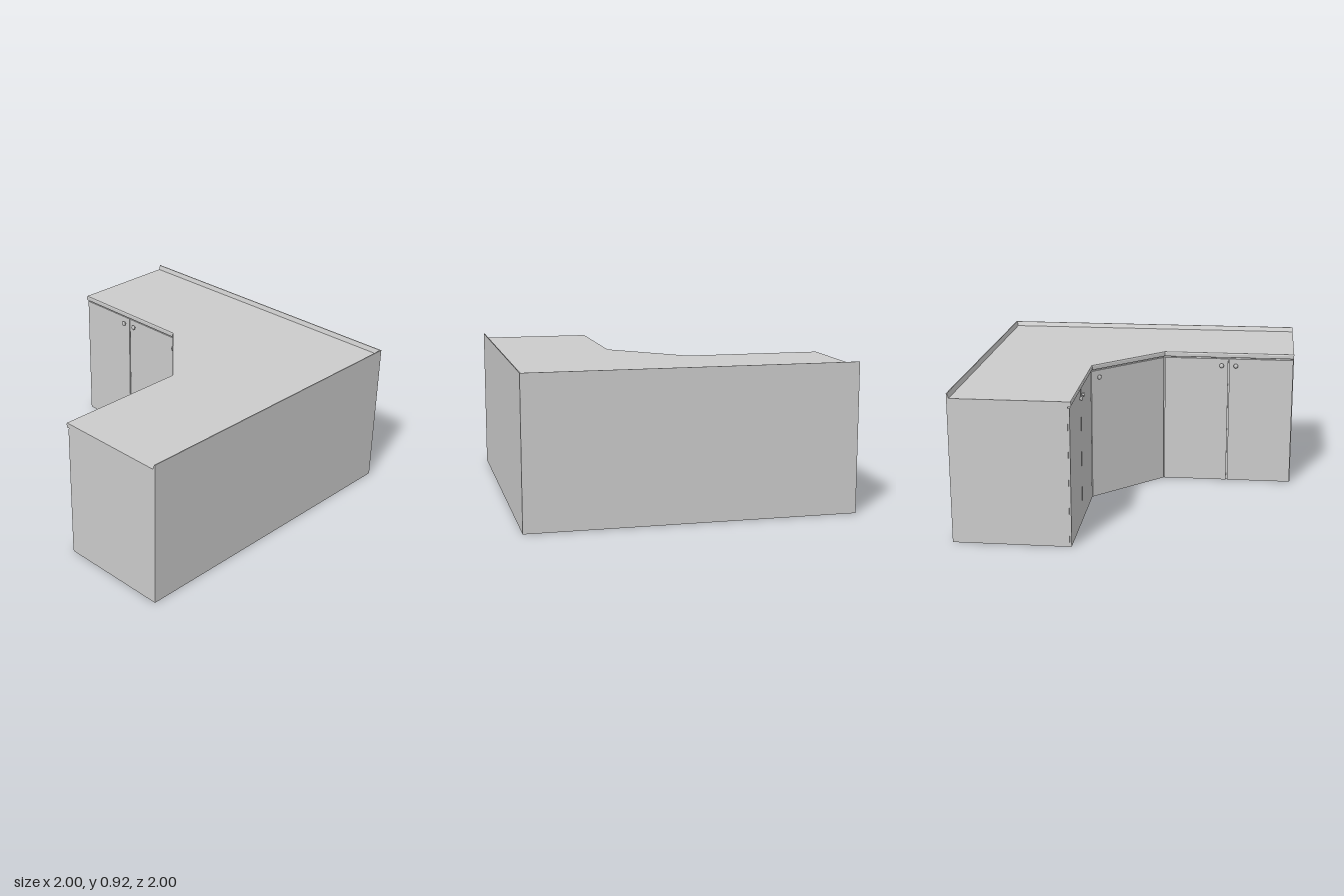
import * as THREE from 'three';

const mat = new THREE.MeshStandardMaterial({ color: 0xcccccc, flatShading: true });
const smooth = new THREE.MeshStandardMaterial({ color: 0xcccccc });
const BODY_TOP = 0.855, TOP = 0.885, RIM = 0.915;

// Inner (room-facing) edge as [x, z], set back by d from the worktop edge
function inner(d) {
  const z = -0.278 - d, x = z + 0.13 + d * Math.SQRT2;
  return [[-1, z], [x, z], [-z, -x], [-z, 1]];
}

// Wall-side edge as [x, z], moved o into the room
const wall = (o) => [[-1, -1 + o], [1 - o, -1 + o], [1 - o, 1]];

function mesh(name, geometry, material = mat) {
  const m = new THREE.Mesh(geometry, material);
  m.name = name;
  return m;
}

// L-shaped slab between two heights
function slab(name, setback, y0, y1) {
  const outline = [...inner(setback), [1, 1], [1, -1], [-1, -1]];
  const shape = new THREE.Shape(outline.map(([x, z]) => new THREE.Vector2(x, -z)));
  const g = new THREE.ExtrudeGeometry(shape, { depth: y1 - y0, bevelEnabled: false });
  g.rotateX(-Math.PI / 2).translate(0, y0, 0);
  return mesh(name, g);
}

// Sweep a convex [offset, y] profile along a mitred path, with closed ends
function sweep(name, profile, path) {
  const n = profile.length, pos = [], idx = [];
  const rails = profile.map(([o]) => path(o));
  const stations = rails[0].length;
  for (let s = 0; s < stations; s++)
    for (let i = 0; i < n; i++) pos.push(rails[i][s][0], profile[i][1], rails[i][s][1]);
  for (let s = 0; s < stations - 1; s++)
    for (let i = 0; i < n; i++) {
      const a = s * n + i, b = s * n + (i + 1) % n;
      idx.push(a, a + n, b, a + n, b + n, b);
    }
  const e = (stations - 1) * n;
  for (let i = 1; i < n - 1; i++) idx.push(0, i, i + 1, e, e + i + 1, e + i);
  const indexed = new THREE.BufferGeometry();
  indexed.setAttribute('position', new THREE.Float32BufferAttribute(pos, 3));
  indexed.setIndex(idx);
  const g = indexed.toNonIndexed();
  g.computeVertexNormals();
  return mesh(name, g);
}

// Round knob on a short stem, pointing along +z
const knobGeometry = new THREE.LatheGeometry(
  [[0, 0], [0.008, 0], [0.008, 0.006], [0.015, 0.008], [0.015, 0.013], [0.011, 0.017], [0, 0.018]]
    .map(([r, y]) => new THREE.Vector2(r, y)), 20).rotateX(Math.PI / 2);

// A run of equal doors from p to q, with knobs at distances along the run
function doorRun(name, p, q, count, knobs) {
  const run = new THREE.Group();
  run.name = name;
  const dx = q[0] - p[0], dz = q[1] - p[1];
  const width = Math.hypot(dx, dz) / count, gap = 0.008, depth = 0.012, height = 0.845;
  for (let i = 0; i < count; i++) {
    const door = mesh('door', new THREE.BoxGeometry(width - gap, height, depth));
    door.position.set((i + 0.5) * width, height / 2, -depth / 2);
    run.add(door);
  }
  for (const k of knobs) {
    const knob = mesh('knob', knobGeometry, smooth);
    knob.position.set(k, 0.8, 0);
    run.add(knob);
  }
  run.position.set(p[0], 0, p[1]);
  run.rotation.y = Math.atan2(-dz, dx);
  return run;
}

export function createModel() {
  const group = new THREE.Group();
  group.name = 'cornerCabinet';

  // Carcass and worktop
  group.add(slab('carcass', 0.02, 0, BODY_TOP));
  group.add(slab('worktop', 0.01, BODY_TOP, TOP));

  // Eased front edge of the worktop
  group.add(sweep('worktopNosing', [
    [-0.01, BODY_TOP], [-0.003, BODY_TOP], [0, BODY_TOP + 0.005],
    [0, TOP - 0.006], [-0.003, TOP], [-0.01, TOP],
  ], (o) => inner(-o)));

  // Low tapered upstand along both walls
  group.add(sweep('upstand', [[0, TOP], [0.014, TOP], [0.006, RIM], [0, RIM]], wall));

  // Doors on each wing and across the corner
  const [a, b, c, d] = inner(0.009);
  const half = (b[0] - a[0]) / 2;
  group.add(doorRun('rightWingDoors', a, b, 2, [half - 0.047, half + 0.047]));
  group.add(doorRun('cornerDoor', b, c, 1, [0.06]));
  group.add(doorRun('leftWingDoors', c, d, 2, [half - 0.047, half + 0.047]));
  return group;
}
